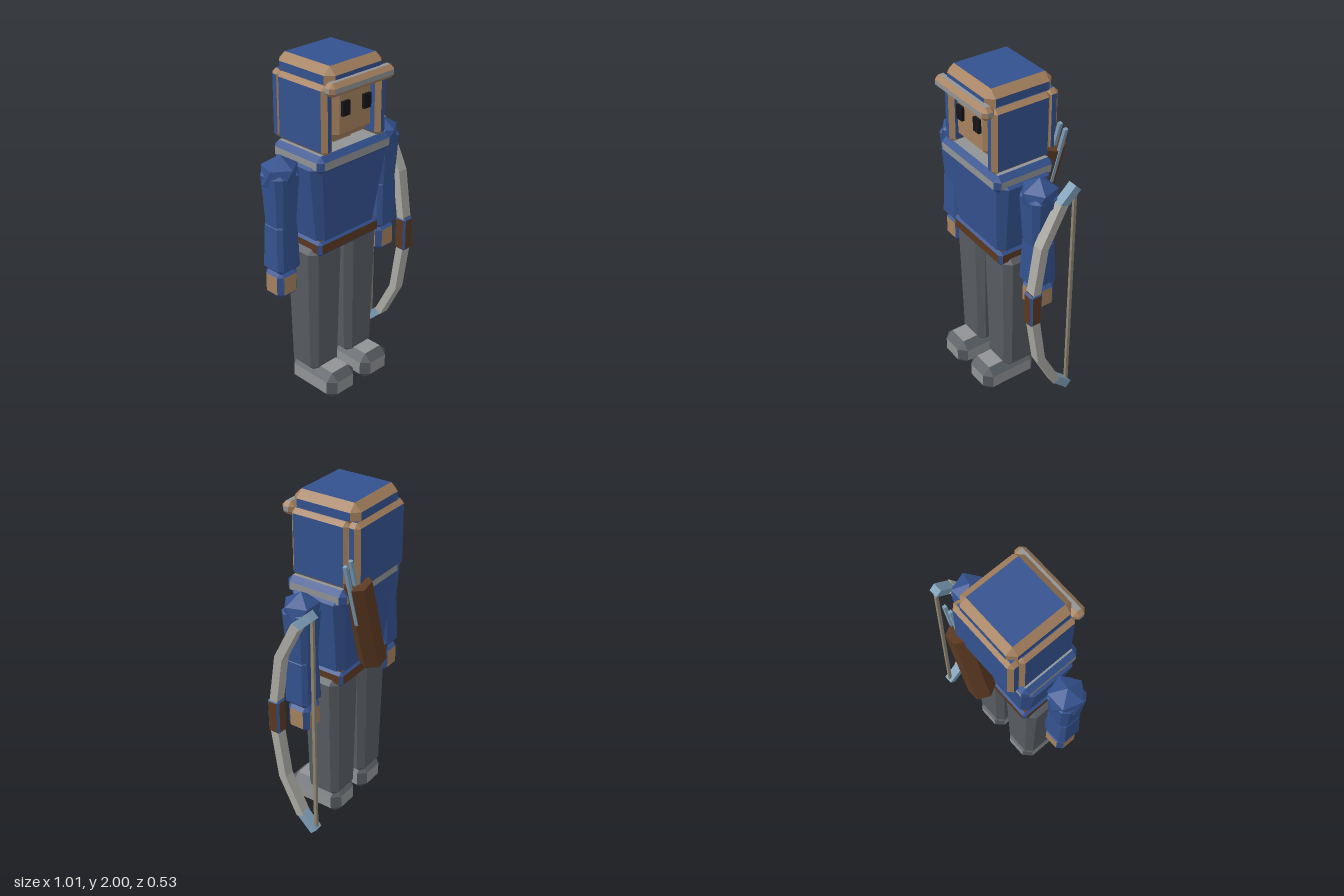
import * as THREE from 'three';

const BLUE = 0x34528f, TAN = 0xa5815f, BROWN = 0x5a3821, GREY = 0x909294, SLATE = 0x575c61;
const STEEL = 0x7d9db5, LIMB = 0xaaa9a3, CORD = 0x8f8672, BLACK = 0x15151a;

const mat = (color) => new THREE.MeshStandardMaterial({ color, flatShading: true });

function mesh(name, geo, color, parent) {
  const m = new THREE.Mesh(geo, mat(color));
  m.name = name;
  parent.add(m);
  return m;
}

// Chamfered box geometry: flat faces (bevels = false) or chamfers and corners (bevels = true).
// taper [x, z] scales the top relative to the bottom.
function chamferGeometry(size, c, taper, bevels) {
  const half = size.map((s) => s / 2), pos = [];
  const signs = [-1, 0, 1];
  for (const a of signs) for (const b of signs) for (const d of signs) {
    const dir = [a, b, d];
    const axes = [0, 1, 2].filter((i) => dir[i] !== 0);
    if (!axes.length || (axes.length > 1) !== bevels) continue;
    const pts = [];
    for (const sx of [-1, 1]) for (const sy of [-1, 1]) for (const sz of [-1, 1]) {
      const s = [sx, sy, sz];
      if (!axes.every((i) => s[i] === dir[i])) continue;
      for (const full of axes) {
        pts.push(new THREE.Vector3(...s.map((v, i) => v * (half[i] - (i === full ? 0 : c)))));
      }
    }
    // order the corners counter-clockwise around the outward direction
    const n = new THREE.Vector3(...dir).normalize();
    const mid = pts.reduce((m, p) => m.add(p), new THREE.Vector3()).divideScalar(pts.length);
    const u = pts[0].clone().sub(mid);
    u.addScaledVector(n, -u.dot(n)).normalize();
    const v = n.clone().cross(u);
    const angle = (p) => Math.atan2(p.clone().sub(mid).dot(v), p.clone().sub(mid).dot(u));
    pts.sort((p, q) => angle(p) - angle(q));
    for (let i = 1; i + 1 < pts.length; i++) {
      for (const p of [pts[0], pts[i], pts[i + 1]]) {
        const t = p.y / size[1] + 0.5;
        pos.push(p.x * (1 + (taper[0] - 1) * t), p.y, p.z * (1 + (taper[1] - 1) * t));
      }
    }
  }
  const g = new THREE.BufferGeometry();
  g.setAttribute('position', new THREE.Float32BufferAttribute(pos, 3));
  g.computeVertexNormals();
  return g;
}

// Chamfered block given by its ranges on each axis
function block(parent, name, [x0, x1], [y0, y1], [z0, z1], c, color, edge = color, taper = [1, 1]) {
  const g = new THREE.Group();
  g.name = name;
  g.position.set((x0 + x1) / 2, (y0 + y1) / 2, (z0 + z1) / 2);
  const size = [x1 - x0, y1 - y0, z1 - z0];
  mesh(name + 'Faces', chamferGeometry(size, c, taper, false), color, g);
  mesh(name + 'Edges', chamferGeometry(size, c, taper, true), edge, g);
  parent.add(g);
  return g;
}

// Flat strip following [z, y] points, extruded across x
function strip(parent, name, path, thick, width, color) {
  const pts = path.map((p) => new THREE.Vector2(...p));
  const side = (k) => pts.map((p, i) => {
    const d = pts[Math.min(i + 1, pts.length - 1)].clone().sub(pts[Math.max(i - 1, 0)]).normalize();
    return new THREE.Vector2(p.x - d.y * k, p.y + d.x * k);
  });
  const shape = new THREE.Shape([...side(thick / 2), ...side(-thick / 2).reverse()]);
  const geo = new THREE.ExtrudeGeometry(shape, { depth: width, bevelEnabled: false });
  geo.translate(0, 0, -width / 2).rotateY(-Math.PI / 2);
  return mesh(name, geo, color, parent);
}

function buildBody() {
  const body = new THREE.Group();
  body.name = 'body';
  body.position.x = -0.026;

  // torso, belt, collar
  block(body, 'torso', [-0.215, 0.215], [0.97, 1.49], [-0.11, 0.15], 0.035, BLUE, BLUE, [1.38, 1.38]);
  block(body, 'belt', [-0.235, 0.235], [0.92, 1.01], [-0.125, 0.165], 0.018, BROWN, BLUE);
  block(body, 'collar', [-0.275, 0.275], [1.43, 1.535], [-0.165, 0.215], 0.03, GREY, BLUE);

  // head
  mesh('neck', new THREE.BoxGeometry(0.13, 0.12, 0.13), TAN, body).position.set(0, 1.54, 0.03);
  block(body, 'head', [-0.165, 0.165], [1.57, 1.89], [-0.15, 0.19], 0.05, TAN);

  // hood
  block(body, 'hoodTop', [-0.21, 0.21], [1.87, 2.0], [-0.2, 0.215], 0.042, BLUE, TAN);
  block(body, 'hoodBack', [-0.225, 0.225], [1.525, 1.91], [-0.22, -0.14], 0.025, BLUE, TAN);
  block(body, 'hoodBrim', [-0.238, 0.238], [1.86, 1.935], [0.185, 0.262], 0.024, GREY, TAN);

  for (const s of [1, -1]) {
    const tag = s > 0 ? 'left' : 'right';
    const range = (a, b) => (s > 0 ? [a, b] : [-b, -a]);
    block(body, tag + 'HoodSide', range(0.16, 0.238), [1.525, 1.91], [-0.16, 0.205], 0.025, BLUE, TAN);
    mesh(tag + 'Eye', new THREE.BoxGeometry(0.052, 0.08, 0.02), BLACK, body).position.set(s * 0.078, 1.76, 0.197);

    // arm
    const shoulder = new THREE.IcosahedronGeometry(0.112).rotateX(-Math.atan((1 + Math.sqrt(5)) / 2));
    mesh(tag + 'Shoulder', shoulder, BLUE, body).position.set(s * 0.385, 1.43, 0.025);
    block(body, tag + 'UpperArm', range(0.318, 0.454), [1.12, 1.46], [-0.043, 0.093], 0.025, BLUE, BLUE, [1.3, 1.3]);
    block(body, tag + 'Forearm', range(0.304, 0.47), [0.87, 1.17], [-0.055, 0.105], 0.025, BLUE, BLUE, [0.86, 0.86]);
    block(body, tag + 'Hand', range(0.315, 0.46), [0.71, 0.875], [-0.052, 0.09], 0.028, TAN, BLUE);

    // leg and foot
    block(body, tag + 'Leg', range(0.03, 0.245), [0.13, 0.96], [-0.085, 0.125], 0.035, SLATE, SLATE, [1.2, 1.15]);
    block(body, tag + 'Foot', range(0.03, 0.245), [0, 0.17], [-0.095, 0.268], 0.045, GREY, SLATE);
  }
  return body;
}

function buildBow() {
  const bow = new THREE.Group();
  bow.name = 'bow';
  bow.position.x = 0.465;
  const mid = 0.795;
  for (const s of [1, -1]) {
    const tag = s > 0 ? 'upper' : 'lower';
    // [z, height from the grip]
    const limb = [[0.13, 0.09], [0.125, 0.11], [0.083, 0.39], [-0.035, 0.62]];
    const tip = [[-0.03, 0.61], [-0.125, 0.7]];
    const place = (p) => [p[0], mid + s * p[1]];
    strip(bow, tag + 'Limb', limb.map(place), 0.05, 0.064, LIMB);
    strip(bow, tag + 'Tip', tip.map(place), 0.05, 0.056, STEEL);
  }
  block(bow, 'grip', [-0.038, 0.038], [0.69, 0.905], [0.09, 0.168], 0.012, BROWN, BLUE);
  mesh('bowString', new THREE.BoxGeometry(0.018, 1.38, 0.018), CORD, bow).position.set(0, mid, -0.125);
  return bow;
}

function buildQuiver() {
  const quiver = new THREE.Group();
  quiver.name = 'quiver';
  quiver.position.set(0.0925, 1.31, -0.197);
  quiver.rotation.z = -0.28;
  mesh('quiverCase', new THREE.CylinderGeometry(0.078, 0.078, 0.56, 6).rotateY(Math.PI / 6), BROWN, quiver);
  [-0.035, 0.02, 0.068].forEach((x, i) => {
    mesh('arrow' + (i + 1), new THREE.BoxGeometry(0.02, 0.4, 0.02), STEEL, quiver).position.set(x, 0.24, 0);
  });
  return quiver;
}

export function createModel() {
  const model = new THREE.Group();
  model.name = 'archer';
  model.add(buildBody(), buildBow(), buildQuiver());
  return model;
}
